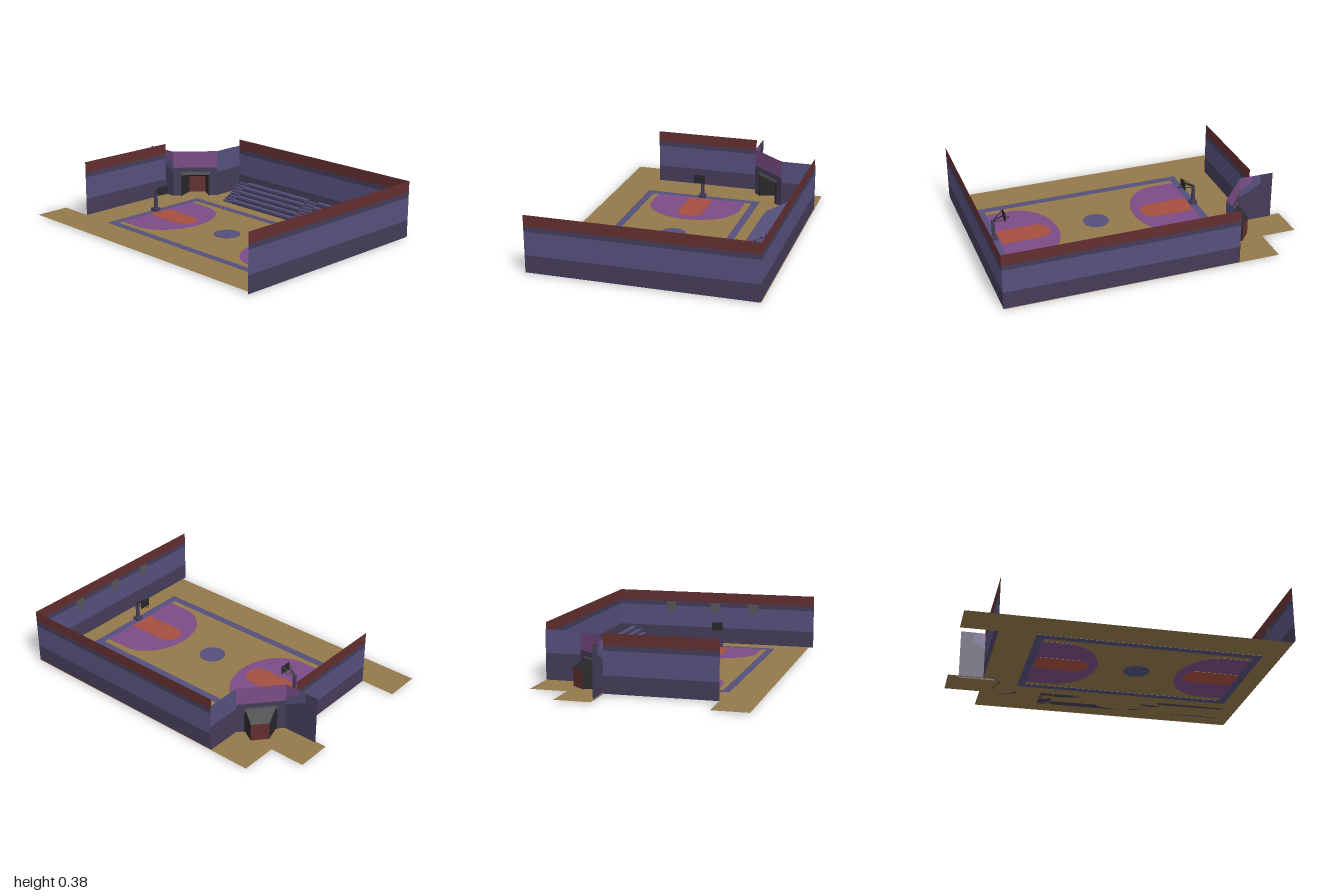
import * as THREE from 'three';

const mat = (name, color) => {
  const m = new THREE.MeshStandardMaterial({ color, side: THREE.DoubleSide });
  m.name = name;
  return m;
};

export function createModel() {
  const M = {
    tan: mat('floor tan', 0x94784a),
    blue: mat('dusty blue', 0x55507c),
    slate: mat('dark slate', 0x443c58),
    red: mat('brick red', 0x622e2f),
    purple: mat('court purple', 0x7b4c86),
    orange: mat('court orange', 0xa54f3e),
    black: mat('black', 0x282629),
    grey: mat('grey', 0x58545a),
  };
  const root = new THREE.Group();
  root.name = 'basketballCourt';
  const add = (parent, name, geo, material, x = 0, y = 0, z = 0) => {
    const m = new THREE.Mesh(geo, material);
    m.name = name;
    m.position.set(x, y, z);
    parent.add(m);
    return m;
  };
  const box = (parent, name, material, w, h, d, x, y, z) =>
    add(parent, name, new THREE.BoxGeometry(w, h, d), material, x, y, z);
  const poly = pts => new THREE.Shape(pts.map(p => new THREE.Vector2(...p)));

  // Floor: shape drawn in x,z and laid flat
  const FLOOR = 0.009;
  add(root, 'floor', new THREE.ShapeGeometry(poly([
    [-0.77, -0.72], [1, -0.72], [1, 0.69], [-1, 0.69], [-1, 0.46],
    [-0.77, 0.46], [-0.77, -0.25], [-1, -0.25], [-1, -0.48], [-0.77, -0.48],
  ])).rotateX(Math.PI / 2), M.tan, 0, FLOOR, 0);

  // Court markings: thin plates that show on both sides of the floor
  const marking = (name, shape, material, t) => add(root, name,
    new THREE.ExtrudeGeometry(shape, { depth: t, bevelEnabled: false, curveSegments: 24 })
      .rotateX(Math.PI / 2), material, 0, FLOOR + t / 2, 0);
  const CX = 0.17, CZ = 0.067;
  const border = poly([[-0.54, -0.335], [0.88, -0.335], [0.88, 0.465], [-0.54, 0.465]]);
  border.holes.push(poly([[-0.492, -0.287], [-0.492, 0.417], [0.832, 0.417], [0.832, -0.287]]));
  marking('courtBorder', border, M.blue, 0.003);
  marking('centreCircle', new THREE.Shape().absarc(CX, CZ, 0.085, 0, Math.PI * 2), M.blue, 0.003);
  // A straight block closed by a half ellipse toward mid court
  const dome = (s, end, centre, rx, rz) => {
    const pts = [[CX + s * end, CZ - rz]];
    for (let i = 0; i <= 24; i++) {
      const a = -Math.PI / 2 + Math.PI * i / 24;
      pts.push([CX + s * (centre - rx * Math.cos(a)), CZ + rz * Math.sin(a)]);
    }
    pts.push([CX + s * end, CZ + rz]);
    return poly(pts);
  };
  for (const s of [-1, 1]) {
    marking('shootingArea', dome(s, 0.662, 0.51, 0.25, 0.31), M.purple, 0.003);
    marking('keyLane', dome(s, 0.655, 0.395, 0.08, 0.083), M.orange, 0.006);
  }

  // Walls: upright strips from point a to point b (x,z), stacked as bands
  const strip = (parent, name, a, b, y0, y1, material) => {
    const dx = b[0] - a[0], dz = b[1] - a[1];
    const m = add(parent, name, new THREE.PlaneGeometry(Math.hypot(dx, dz), y1 - y0), material,
      (a[0] + b[0]) / 2, (y0 + y1) / 2, (a[1] + b[1]) / 2);
    m.rotation.y = Math.atan2(-dz, dx);
  };
  const wall = (name, a, b, bands) => {
    const g = new THREE.Group();
    g.name = name;
    root.add(g);
    for (const [y0, y1, material] of bands) strip(g, name + 'Band', a, b, y0, y1, material);
  };
  const tall = [[0.008, 0.12, M.slate], [0.12, 0.27, M.blue], [0.27, 0.303, M.slate], [0.303, 0.375, M.red]];
  wall('backWall', [-0.5, -0.715], [1, -0.715], tall);
  wall('rightWall', [1, -0.715], [1, 0.72], tall);
  wall('leftWall', [-0.77, 0.46], [-0.77, -0.25], tall);
  wall('alcoveSideWall', [-0.5, -0.72], [-0.5, -0.49], [[0.008, 0.18, M.slate], [0.18, 0.33, M.blue]]);

  // Short entrance wall with diagonal colour patches
  const patch = (name, pts, material) =>
    add(root, name, new THREE.ShapeGeometry(poly(pts)), material, 0, 0, -0.26);
  patch('entranceWall', [[-0.93, 0], [-0.7, 0], [-0.7, 0.19], [-0.77, 0.22], [-0.85, 0.27],
    [-0.84, 0.33], [-0.93, 0.33]], M.slate);
  patch('entranceWallBlue', [[-0.7, 0.19], [-0.7, 0.25], [-0.78, 0.28], [-0.8, 0.33],
    [-0.84, 0.33], [-0.85, 0.27], [-0.77, 0.22]], M.blue);
  patch('entranceWallPurple', [[-0.7, 0.25], [-0.7, 0.33], [-0.8, 0.33], [-0.78, 0.28]], M.purple);

  // Diagonal doorway wall; local +z faces the court
  const door = new THREE.Group();
  door.name = 'doorway';
  door.position.set(-0.6, 0, -0.375);
  door.rotation.y = 0.855;
  root.add(door);
  const H = 0.1525, O = 0.095;
  for (const s of [-1, 1]) {
    strip(door, 'doorwaySide', [s * H, 0], [s * O, 0], 0.004, 0.18, M.slate);
    box(door, 'doorPost', M.black, 0.012, 0.17, 0.012, s * O, 0.09, 0);
  }
  strip(door, 'doorwayLintel', [-H, 0], [H, 0], 0.175, 0.213, M.slate);
  strip(door, 'doorwayTop', [-H, 0], [H, 0], 0.213, 0.33, M.purple);
  box(door, 'doorHeader', M.grey, 0.2, 0.02, 0.014, 0, 0.17, 0);
  // Tapered recess behind the opening, ending in the door
  const quad = (name, pts, material) => {
    const g = new THREE.BufferGeometry();
    g.setAttribute('position', new THREE.Float32BufferAttribute(pts.flat(), 3));
    g.setIndex([0, 1, 2, 0, 2, 3]);
    g.computeVertexNormals();
    add(door, name, g, material);
  };
  const D = -0.095, B = 0.057, C = 0.02;
  quad('recessRoof', [[-O, 0.175, 0], [O, 0.175, 0], [C + B, 0.125, D], [C - B, 0.125, D]], M.black);
  for (const s of [-1, 1])
    quad('recessSide', [[s * O, 0.004, 0], [s * O, 0.175, 0], [C + s * B, 0.125, D], [C + s * B, 0.004, D]], M.black);
  strip(door, 'doorPanel', [C - B, D], [C + B, D], 0.004, 0.125, M.red);

  // Pennants on the right wall
  for (const z of [-0.33, 0, 0.28]) {
    const p = add(root, 'pennant', new THREE.ShapeGeometry(poly([
      [-0.035, 0.3], [-0.035, 0.255], [0, 0.205], [0.035, 0.255], [0.035, 0.3]])), M.grey, 0.996, 0, z);
    p.rotation.y = -Math.PI / 2;
  }

  // Bleachers: tiers of planks between narrow stairs
  const stands = new THREE.Group();
  stands.name = 'bleachers';
  root.add(stands);
  const rows = (x0, x1, n, top, plank, name) => {
    const d = 0.18 / n, w = x1 - x0, x = (x0 + x1) / 2;
    for (let i = 0; i < n; i++) {
      const h = FLOOR + (top - FLOOR) * (i + 1) / n, z = -0.42 - d * (i + 0.5);
      box(stands, name + 'Riser', M.slate, w, h - 0.01 - FLOOR, d, x, (h - 0.01 + FLOOR) / 2, z);
      box(stands, name + 'Tread', M.blue, w, 0.01, d * plank, x, h - 0.005, z);
    }
  };
  for (const [a, b] of [[-0.275, 0.27], [0.365, 0.905]]) rows(a, b, 5, 0.125, 0.72, 'bench');
  for (const [a, b] of [[-0.365, -0.28], [0.275, 0.36]]) rows(a, b, 8, 0.112, 0.7, 'stair');

  // Hoops, mirrored about mid court; local +x points to mid court
  const rod = (parent, name, a, b, r, material) => {
    const va = new THREE.Vector3(...a), vb = new THREE.Vector3(...b);
    const dir = vb.clone().sub(va);
    const m = add(parent, name, new THREE.CylinderGeometry(r, r, dir.length(), 6), material);
    m.position.copy(va).add(vb).multiplyScalar(0.5);
    m.quaternion.setFromUnitVectors(new THREE.Vector3(0, 1, 0), dir.normalize());
  };
  for (const s of [-1, 1]) {
    const hoop = new THREE.Group();
    hoop.name = 'hoopStand';
    hoop.position.set(CX + s * 0.687, 0, CZ);
    hoop.rotation.y = s > 0 ? Math.PI : 0;
    root.add(hoop);
    box(hoop, 'hoopBase', M.slate, 0.045, 0.025, 0.045, 0, 0.02, 0);
    box(hoop, 'hoopPole', M.slate, 0.018, 0.13, 0.02, 0, 0.08, 0);
    for (const k of [-1, 1]) {
      rod(hoop, 'upperArm', [0, 0.143, k * 0.004], [0.071, 0.19, k * 0.03], 0.003, M.black);
      rod(hoop, 'lowerArm', [0, 0.138, k * 0.004], [0.071, 0.153, k * 0.03], 0.003, M.black);
    }
    box(hoop, 'backboard', M.black, 0.005, 0.055, 0.075, 0.074, 0.168, 0);
    add(hoop, 'rim', new THREE.TorusGeometry(0.013, 0.002, 6, 16).rotateX(Math.PI / 2),
      M.black, 0.092, 0.152, 0);
  }
  return root;
}
